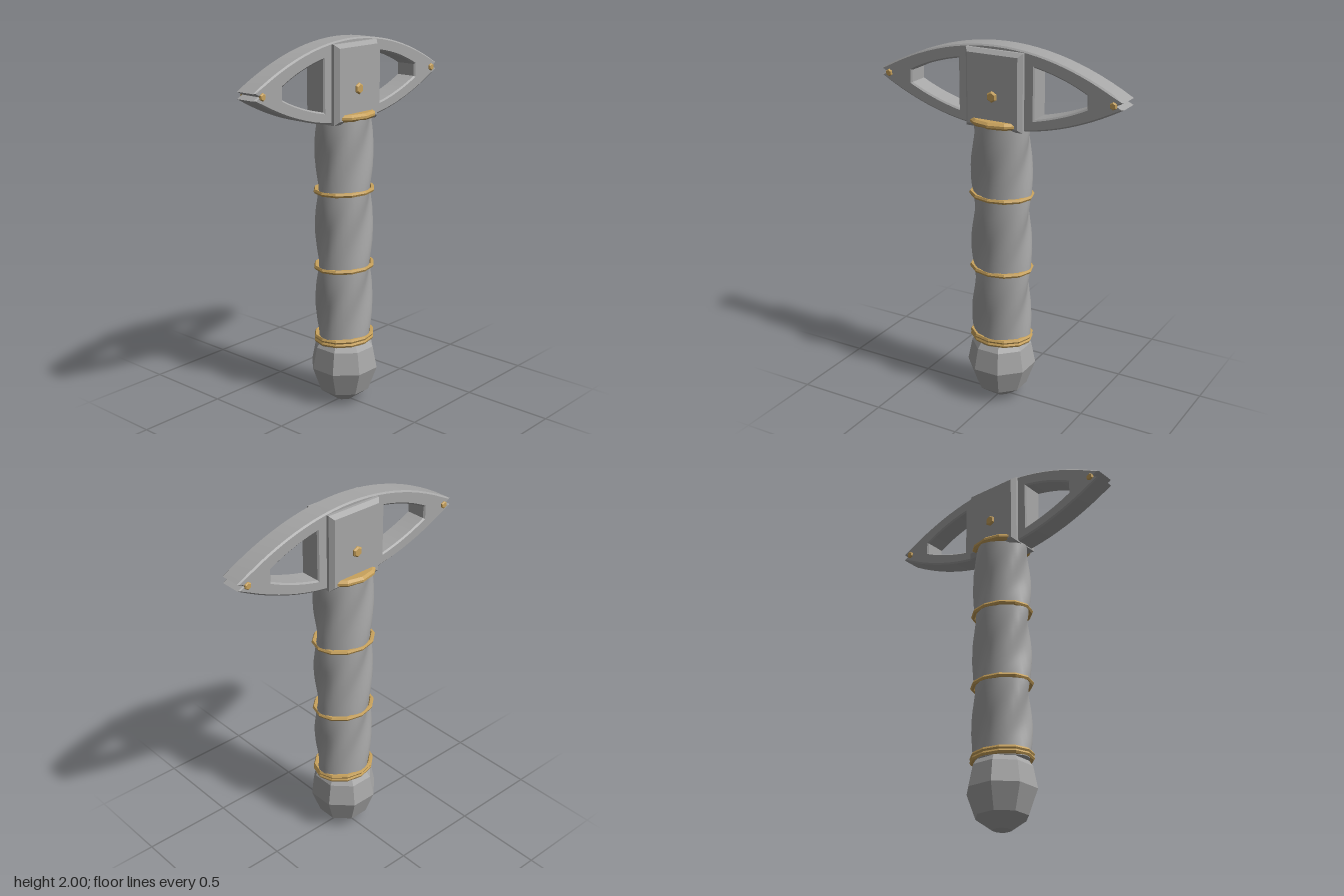
import * as THREE from 'three';
import { toCreasedNormals } from 'three/addons/utils/BufferGeometryUtils.js';

const steel = new THREE.MeshStandardMaterial({ color: 0xa6a6a6 });
steel.name = 'steel grey';
const brass = new THREE.MeshStandardMaterial({ color: 0xc8a25c });
brass.name = 'brass';

const RX = 0.165, RZ = 0.14; // grip half-widths

export function createModel() {
  const model = new THREE.Group();

  const add = (name, geometry, material, x = 0, y = 0, z = 0) => {
    const mesh = new THREE.Mesh(geometry, material);
    mesh.name = name;
    mesh.position.set(x, y, z);
    model.add(mesh);
    return mesh;
  };
  const faceted = (geometry) => toCreasedNormals(geometry, 0.1);

  // Eight-sided pommel with flats facing front and sides
  const profile = [[0, 0], [0.05, 0], [0.14, 0.065], [0.189, 0.2], [0.165, 0.32], [0.14, 0.355], [0, 0.355]]
    .map(([r, y]) => new THREE.Vector2(r, y));
  add('pommel', faceted(new THREE.LatheGeometry(profile, 8, Math.PI / 8)), steel);

  // Grip: a four-lobed column twisting a quarter turn between bands
  const grip = new THREE.CylinderGeometry(1, 1, 1.25, 32, 60);
  const p = grip.attributes.position;
  for (let i = 0; i < p.count; i++) {
    const y = p.getY(i) + 0.975;
    const a = Math.atan2(p.getX(i), p.getZ(i));
    const r = Math.hypot(p.getX(i), p.getZ(i));
    const twist = (y - 1.2) * (Math.PI / 2) / 0.415;
    const lobe = r * (0.96 + 0.07 * Math.cos(4 * (a - twist)));
    p.setXYZ(i, Math.sin(a) * lobe * RX, y, Math.cos(a) * lobe * RZ);
  }
  grip.computeVertexNormals();
  add('grip', toCreasedNormals(grip, 0.9), steel);

  // Brass bands around the grip
  for (const y of [0.365, 0.385, 0.78, 1.2]) {
    const ring = new THREE.TorusGeometry(0.166, 0.013, 6, 12);
    ring.rotateX(Math.PI / 2);
    ring.scale(1, 1, 0.86);
    add('gripBand', faceted(ring), brass, 0, y, 0);
  }

  // Solid collar under the head
  const collarProfile = [[0, -0.018], [0.165, -0.018], [0.18, -0.006], [0.18, 0.006], [0.165, 0.018], [0, 0.018]]
    .map(([r, y]) => new THREE.Vector2(r, y));
  const collar = new THREE.LatheGeometry(collarProfile, 12);
  collar.scale(1, 1, 0.86);
  add('collar', faceted(collar), brass, 0, 1.603, 0);

  // Lens-shaped head with forked tips
  const lens = new THREE.Shape();
  lens.moveTo(-0.705, 1.765);
  lens.quadraticCurveTo(0, 1.365, 0.705, 1.765);
  lens.lineTo(0.67, 1.782);
  lens.lineTo(0.705, 1.8);
  lens.quadraticCurveTo(0, 2.2, -0.705, 1.8);
  lens.lineTo(-0.67, 1.782);
  lens.closePath();
  // Curved openings on both sides
  for (const s of [-1, 1]) {
    const hole = new THREE.Path();
    hole.moveTo(s * 0.22, 1.645);
    hole.quadraticCurveTo(s * 0.38, 1.68, s * 0.51, 1.745);
    hole.lineTo(s * 0.51, 1.81);
    hole.quadraticCurveTo(s * 0.38, 1.88, s * 0.22, 1.91);
    hole.closePath();
    lens.holes.push(hole);
  }
  const head = new THREE.ExtrudeGeometry(lens, {
    depth: 0.108, bevelEnabled: true, bevelThickness: 0.008, bevelSize: 0.008,
    bevelOffset: -0.008, bevelSegments: 1, curveSegments: 24,
  });
  add('head', toCreasedNormals(head, 0.2), steel, 0, 0, -0.054);

  // Chamfered block through the middle of the head
  const square = new THREE.Shape([[-0.145, 1.59], [0.145, 1.59], [0.145, 1.96], [-0.145, 1.96]]
    .map(([x, y]) => new THREE.Vector2(x, y)));
  const block = new THREE.ExtrudeGeometry(square, {
    depth: 0.156, bevelEnabled: true, bevelThickness: 0.022, bevelSize: 0.02, bevelSegments: 1,
  });
  add('centreBlock', block, steel, 0, 0, -0.078);

  // Brass rivets passing right through the head
  const rivet = (name, x, y, r, halfDepth) => {
    const bevel = r * 0.25;
    const points = [[0, -halfDepth], [r - bevel, -halfDepth], [r, bevel - halfDepth],
      [r, halfDepth - bevel], [r - bevel, halfDepth], [0, halfDepth]]
      .map(([px, py]) => new THREE.Vector2(px, py));
    const geometry = new THREE.LatheGeometry(points, 6);
    geometry.rotateX(Math.PI / 2);
    add(name, faceted(geometry), brass, x, y, 0);
  };
  rivet('centreRivet', 0, 1.745, 0.03, 0.113);
  for (const s of [-1, 1]) rivet('tipRivet', s * 0.652, 1.78, 0.02, 0.073);

  return model;
}
